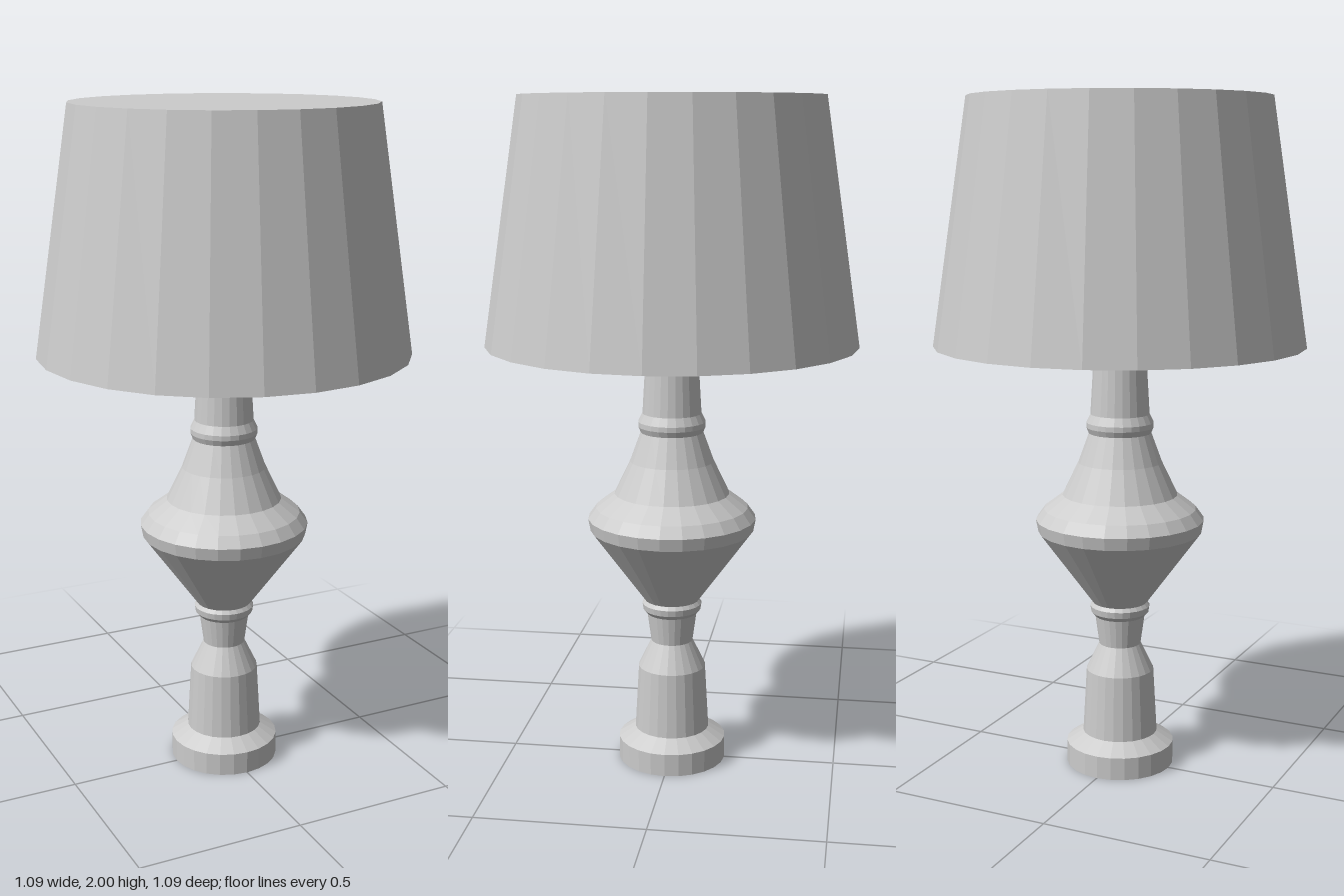
import * as THREE from 'three';

const SIDES = 24;

// Faceted turned part from [radius, height] pairs, listed so the outside runs upward
function turned(name, profile, material) {
  const points = profile.map(([r, y]) => new THREE.Vector2(r, y));
  const mesh = new THREE.Mesh(new THREE.LatheGeometry(points, SIDES).toNonIndexed(), material);
  mesh.geometry.computeVertexNormals(); // flat facets
  mesh.name = name;
  return mesh;
}

export function createModel() {
  const lamp = new THREE.Group();
  lamp.name = 'tableLamp';
  const grey = new THREE.MeshStandardMaterial({ color: 0xcccccc });
  grey.name = 'light grey';

  // Round foot with a chamfered top
  lamp.add(turned('foot', [[0, 0], [0.163, 0], [0.163, 0.068], [0.113, 0.1]], grey));

  // Lower column, narrowing to a neck
  lamp.add(turned('lowerColumn', [
    [0.113, 0.1], [0.102, 0.297], [0.063, 0.378], [0.075, 0.465],
  ], grey));

  // Collar below the bulb
  lamp.add(turned('lowerCollar', [
    [0.075, 0.465], [0.087, 0.478], [0.09, 0.497], [0.082, 0.508],
  ], grey));

  // Wide body: cone, rim and sloping shoulder
  lamp.add(turned('body', [
    [0.082, 0.508], [0.245, 0.73], [0.252, 0.767], [0.228, 0.8],
    [0.172, 0.842], [0.125, 0.94], [0.093, 1.028],
  ], grey));

  // Collar above the body
  lamp.add(turned('upperCollar', [
    [0.093, 1.028], [0.1, 1.045], [0.1, 1.06], [0.088, 1.085],
  ], grey));

  // Tapered stem running up inside the shade
  lamp.add(turned('stem', [[0.088, 1.085], [0.076, 1.29], [0.036, 1.985]], grey));

  // Hollow shade with a closed top
  lamp.add(turned('shade', [
    [0, 1.985], [0.424, 1.985], [0.53, 1.29], [0.545, 1.29], [0.437, 2], [0, 2],
  ], grey));

  return lamp;
}
